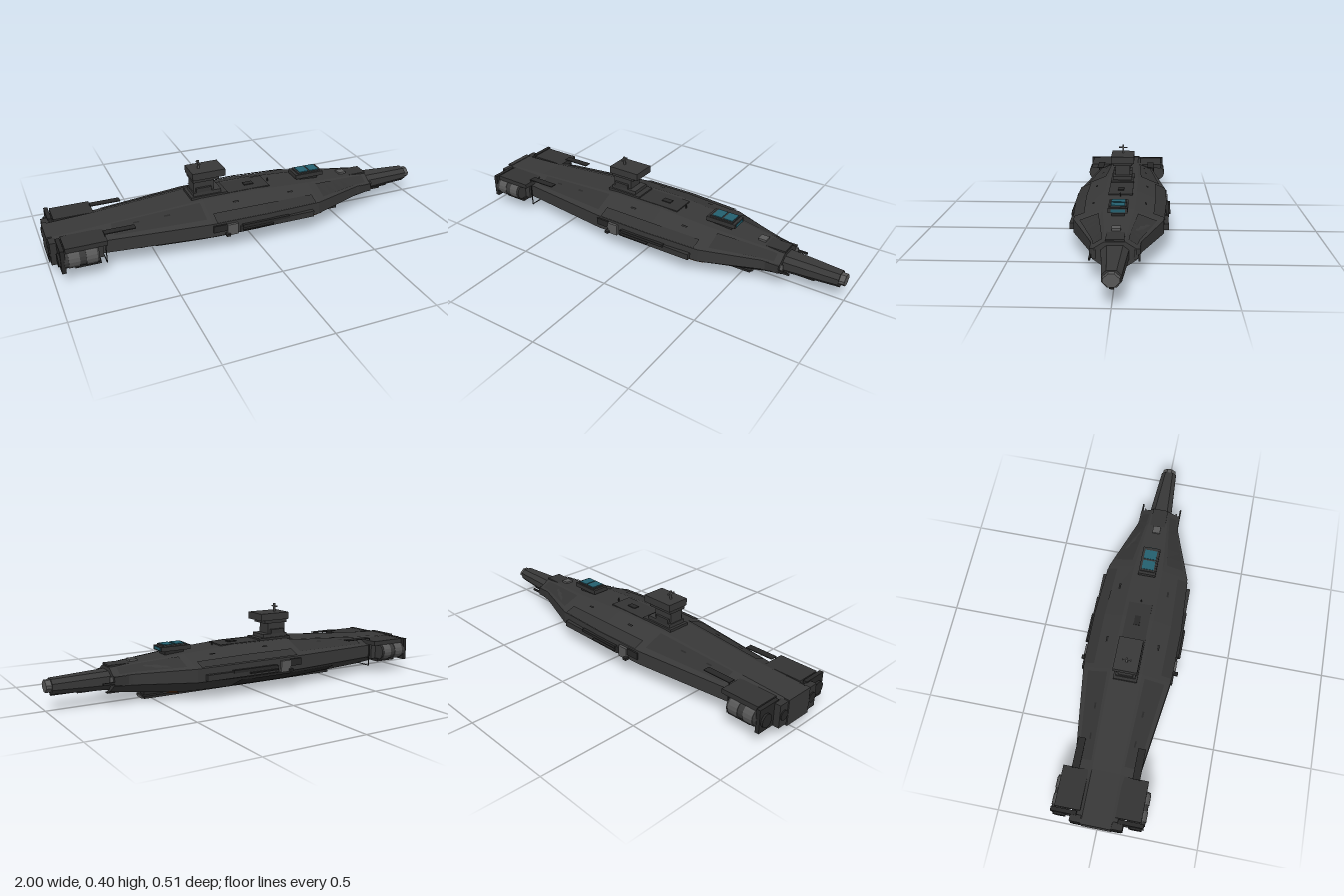
import * as THREE from 'three';

const mat = (name, color, side = THREE.FrontSide) => {
  const m = new THREE.MeshStandardMaterial({ color, side, flatShading: true });
  m.name = name;
  return m;
};

// hull stations: x, half width, top, upper chine, lower chine, bottom, deck half width, keel half width
const HULL = [
  [-0.98, 0.12, 0.175, 0.14, 0.085, 0.052, 0.07, 0.06],
  [-0.74, 0.158, 0.187, 0.15, 0.085, 0.033, 0.07, 0.07],
  [-0.24, 0.225, 0.222, 0.16, 0.09, 0.012, 0.08, 0.08],
  [0.05, 0.228, 0.222, 0.16, 0.09, 0.012, 0.08, 0.08],
  [0.34, 0.212, 0.205, 0.155, 0.09, 0.016, 0.075, 0.07],
  [0.62, 0.112, 0.182, 0.145, 0.095, 0.048, 0.05, 0.05],
  [0.71, 0.095, 0.172, 0.14, 0.095, 0.06, 0.045, 0.045],
];
const BOW = [
  [0.7, 0.06, 0.157, 0.137, 0.095, 0.068, 0.035, 0.035],
  [0.975, 0.04, 0.147, 0.128, 0.1, 0.078, 0.02, 0.02],
];
const NOSE = [
  [0.96, 0.036, 0.144, 0.122, 0.108, 0.085, 0.012, 0.012],
  [1, 0.034, 0.142, 0.122, 0.108, 0.087, 0.012, 0.012],
];

const ring = ([x, w, top, up, low, bot, tw, bw]) => {
  const half = [[tw, top], [w, up], [w, low], [bw, bot]];
  return [...half, ...half.slice().reverse().map(([z, y]) => [-z, y])].map(([z, y]) => new THREE.Vector3(x, y, z));
};

function fromTriangles(points) {
  const g = new THREE.BufferGeometry().setFromPoints(points);
  g.computeVertexNormals();
  return g;
}

// closed faceted body through the stations
function loft(stations) {
  const r = stations.map(ring), p = [], last = r[r.length - 1];
  for (let i = 0; i < r.length - 1; i++) {
    for (let j = 0; j < 8; j++) {
      const k = (j + 1) % 8, a = r[i][j], b = r[i][k], c = r[i + 1][k], d = r[i + 1][j];
      p.push(a, b, c, a, c, d);
    }
  }
  for (let j = 1; j < 7; j++) p.push(last[0], last[j], last[j + 1], r[0][0], r[0][j + 1], r[0][j]);
  return fromTriangles(p);
}

function hullRing(x) {
  let i = 0;
  while (i < HULL.length - 2 && x > HULL[i + 1][0]) i++;
  const f = (x - HULL[i][0]) / (HULL[i + 1][0] - HULL[i][0]);
  return ring(HULL[i].map((v, k) => v + (HULL[i + 1][k] - v) * f));
}

// thin panel following one face of the hull, t running across that face
function panel(x0, x1, face, t0, t1, off = 0.003) {
  const p = [], n = 6;
  const at = (x, t) => {
    const r = hullRing(x), a = r[face], b = r[(face + 1) % 8], e = b.clone().sub(a).normalize();
    const normal = new THREE.Vector3(0, e.z, -e.y);
    return a.clone().lerp(b, t).addScaledVector(normal, off);
  };
  for (let i = 0; i < n; i++) {
    const xa = x0 + (x1 - x0) * i / n, xb = x0 + (x1 - x0) * (i + 1) / n;
    const a = at(xa, t0), b = at(xa, t1), c = at(xb, t1), d = at(xb, t0);
    p.push(a, b, c, a, c, d);
  }
  return fromTriangles(p);
}

export function createModel() {
  const hull = mat('hullGrey', 0x383838);
  const plate = mat('plateGrey', 0x333333, THREE.DoubleSide);
  const dark = mat('darkGrey', 0x272727, THREE.DoubleSide);
  const light = mat('lightGrey', 0x585858);
  const glass = mat('tealGlass', 0x24606f);
  const orange = mat('orangePaint', 0x8a4210, THREE.DoubleSide);

  const group = new THREE.Group();
  const add = (name, geo, m) => {
    const mesh = new THREE.Mesh(geo, m);
    mesh.name = name;
    group.add(mesh);
    return mesh;
  };
  // box given by its ranges along x, y and z
  const box = (name, m, x0, x1, y0, y1, z0, z1) => {
    const mesh = add(name, new THREE.BoxGeometry(x1 - x0, y1 - y0, z1 - z0), m);
    mesh.position.set((x0 + x1) / 2, (y0 + y1) / 2, (z0 + z1) / 2);
    return mesh;
  };
  const pair = (name, m, x0, x1, y0, y1, z0, z1) => {
    box(name + 'Left', m, x0, x1, y0, y1, z0, z1);
    box(name + 'Right', m, x0, x1, y0, y1, -z1, -z0);
  };
  const tubeX = (name, m, x0, x1, y, z, r, sides = 16) => {
    const g = new THREE.CylinderGeometry(r, r, x1 - x0, sides).rotateZ(Math.PI / 2);
    add(name, g, m).position.set((x0 + x1) / 2, y, z);
  };
  const skin = (name, m, ...args) => {
    const g = panel(...args);
    add(name, g, m);
    add(name + 'Mirror', g, m).scale.z = -1;
  };

  // main body
  add('hull', loft(HULL), hull);
  add('bow', loft(BOW), hull);
  add('noseCap', loft(NOSE), light);
  box('keelPlate', dark, -0.56, 0.54, 0.002, 0.014, -0.045, 0.045);
  box('keelPad', light, 0.5, 0.545, 0, 0.012, -0.027, 0.027);
  box('keelStrut', dark, 0.4, 0.53, 0.012, 0.04, -0.02, 0.02);

  // armour panels on the hull faces
  skin('upperArmour', plate, -0.22, 0.32, 0, 0.62, 1, 0.006);
  skin('sternArmour', plate, -0.7, -0.26, 0, 0.1, 0.8, 0.004);
  skin('bowArmour', plate, 0.38, 0.68, 0, 0.15, 0.85, 0.004);
  skin('lowerArmour', dark, -0.5, 0.1, 2, 0.2, 0.8, 0.004);
  for (const x of [-0.6, -0.45, -0.1, 0.2]) skin('vent', dark, x, x + 0.03, 0, 0.3, 0.37, 0.007);

  // painted bay under the left side
  add('paintUpperBand', panel(0.15, 0.36, 2, 0.05, 0.2), orange);
  add('paintLowerBand', panel(0.14, 0.27, 2, 0.58, 0.95), orange);
  add('paintMiddleBand', panel(0.28, 0.37, 2, 0.5, 0.7), orange);
  add('paintKeelBand', panel(0.37, 0.43, 3, 0, 1), orange);

  // side sponsons
  pair('sponson', plate, -0.1, 0.3, 0.095, 0.125, 0.2, 0.236);
  pair('sponsonRail', dark, -0.09, 0.16, 0.118, 0.132, 0.225, 0.241);
  pair('sponsonFin', dark, -0.09, 0.07, 0.107, 0.113, 0.23, 0.25);
  pair('sideBlock', light, -0.17, -0.115, 0.09, 0.147, 0.21, 0.239);
  pair('sideBracket', dark, -0.24, -0.17, 0.115, 0.15, 0.21, 0.234);
  pair('sideLug', dark, -0.18, -0.16, 0.092, 0.104, 0.23, 0.253);

  // command tower
  box('towerFoot', plate, -0.29, -0.1, 0.215, 0.232, -0.06, 0.06);
  box('towerBase', hull, -0.275, -0.13, 0.225, 0.25, -0.05, 0.05);
  pair('towerFairing', plate, -0.26, -0.18, 0.24, 0.272, 0.036, 0.05);
  box('towerNeck', hull, -0.27, -0.165, 0.235, 0.31, -0.038, 0.038);
  box('towerCollar', plate, -0.275, -0.14, 0.305, 0.324, -0.05, 0.05);
  box('towerHead', hull, -0.28, -0.11, 0.322, 0.358, -0.06, 0.06);
  box('mast', light, -0.235, -0.225, 0.358, 0.4, -0.004, 0.004);
  box('mastBar', light, -0.234, -0.226, 0.383, 0.389, -0.022, 0.022);

  // deck fittings
  box('deckHatch', dark, 0.01, 0.06, 0.22, 0.228, -0.015, 0.015);
  box('deckSpine', plate, -0.1, 0.13, 0.218, 0.224, -0.06, 0.06);
  box('deckAerial', dark, 0.143, 0.148, 0.215, 0.235, -0.003, 0.003);
  box('bowDeck', plate, 0.47, 0.71, 0.175, 0.183, -0.04, 0.04);
  box('bowPlate', light, 0.56, 0.6, 0.185, 0.196, -0.02, 0.02);

  // glazed cupola
  box('cupolaFoot', dark, 0.32, 0.42, 0.195, 0.222, -0.03, 0.03);
  box('cupola', plate, 0.29, 0.445, 0.218, 0.24, -0.045, 0.045);
  box('cupolaRoof', plate, 0.305, 0.43, 0.24, 0.247, -0.038, 0.038);
  for (const x of [0.315, 0.375]) box('roofPane', glass, x, x + 0.05, 0.245, 0.25, -0.032, 0.032);
  box('frontPane', glass, 0.443, 0.448, 0.222, 0.236, -0.033, 0.033);

  // bow guns and probes
  pair('gunMount', plate, 0.58, 0.71, 0.1, 0.142, 0.075, 0.108);
  pair('gunBarrel', dark, 0.7, 0.765, 0.108, 0.118, 0.1, 0.108);
  pair('gunBlock', light, 0.7, 0.725, 0.1, 0.14, 0.082, 0.09);
  box('lowerProbe', dark, 0.52, 0.71, 0.043, 0.049, -0.012, 0.012);
  box('chinProbe', dark, 0.84, 0.975, 0.07, 0.076, -0.01, 0.01);
  box('chinBlock', plate, 0.66, 0.86, 0.07, 0.085, -0.03, 0.03);

  // engine pods, stern plates and brackets
  pair('podRoof', plate, -0.94, -0.745, 0.155, 0.178, 0.085, 0.21);
  pair('podCore', hull, -0.93, -0.76, 0.075, 0.158, 0.09, 0.17);
  pair('podFin', dark, -0.965, -0.945, 0.0625, 0.178, 0.1, 0.225);
  pair('podSkid', dark, -0.9, -0.78, 0.063, 0.078, 0.13, 0.2);
  pair('sternBlock', plate, -0.995, -0.96, 0.06, 0.172, 0.07, 0.128);
  box('sternPlate', hull, -1, -0.975, 0.05, 0.178, -0.075, 0.075);
  for (const s of [1, -1]) {
    tubeX('enginePod', hull, -0.95, -0.79, 0.115, s * 0.185, 0.044);
    for (const x of [-0.93, -0.85]) tubeX('engineBand', light, x, x + 0.05, 0.115, s * 0.185, 0.047);
    tubeX('engineNozzle', dark, -0.975, -0.95, 0.115, s * 0.185, 0.032);
    tubeX('sternNozzle', dark, -1, -0.97, 0.115, s * 0.1, 0.024);
  }
  pair('bracketTop', dark, -0.75, -0.6, 0.187, 0.191, 0.13, 0.167);
  pair('bracketSide', dark, -0.75, -0.746, 0.037, 0.191, 0.163, 0.167);
  pair('bracketBottom', dark, -0.75, -0.746, 0.037, 0.041, 0.08, 0.167);
  return group;
}
